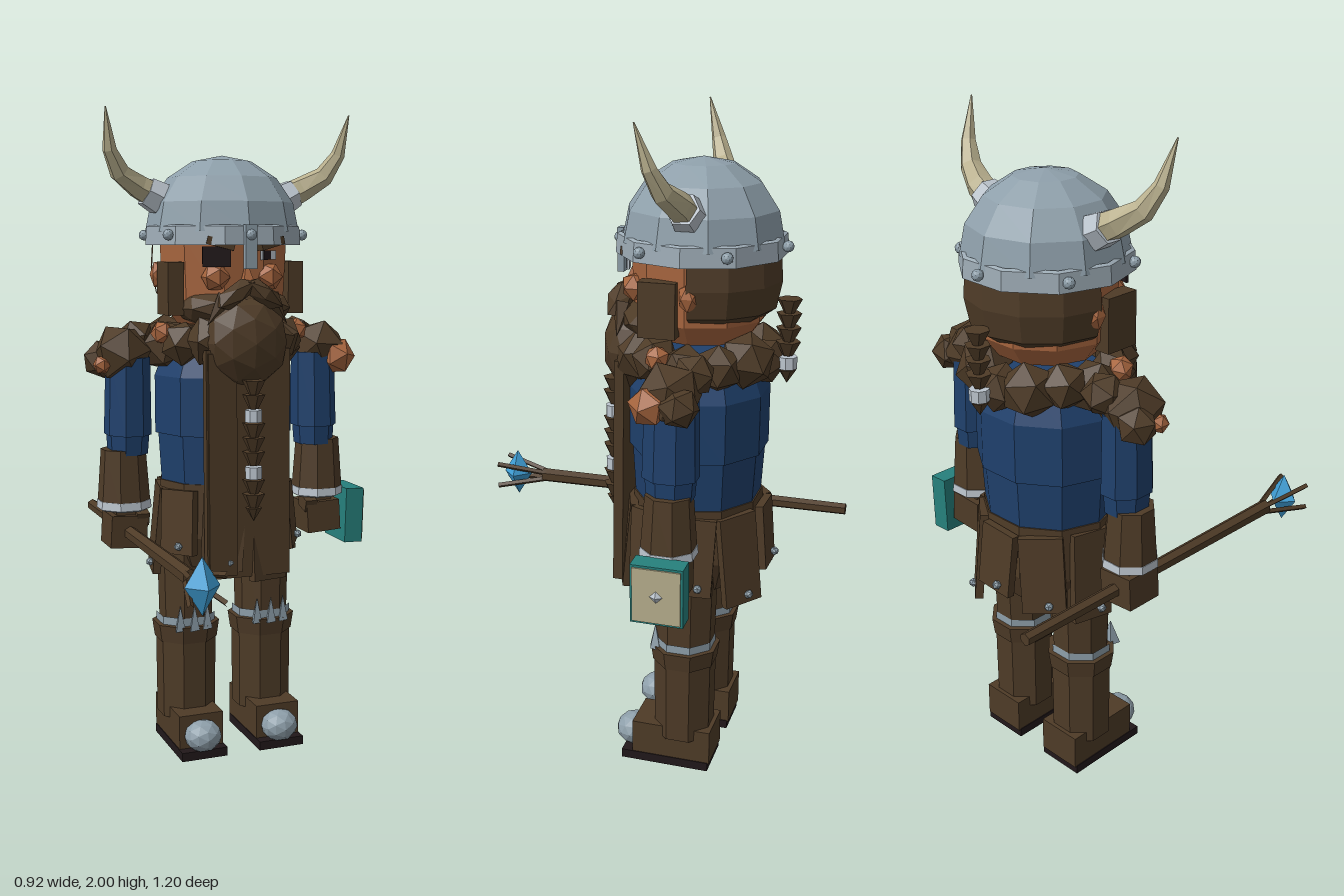
import * as THREE from 'three';

const mat = (name, color, side = THREE.FrontSide) => {
  const m = new THREE.MeshStandardMaterial({ color, flatShading: true, side });
  m.name = name;
  return m;
};

export function createModel() {
  const M = {
    brown: mat('brown leather and hair', 0x4e3b27),
    skin: mat('skin', 0xa8663f),
    blue: mat('blue cloth', 0x1f406c),
    steel: mat('steel', 0x8e9faa),
    trim: mat('pale trim', 0xbcc5ce),
    bone: mat('bone', 0xb9b08e),
    teal: mat('teal cover', 0x26807c),
    crystal: mat('blue crystal', 0x3f9fd6),
    dark: mat('dark sole', 0x21181a),
  };
  const root = new THREE.Group();
  root.name = 'hornedWarrior';
  // The body stands off-centre because of the staff and book.
  const body = new THREE.Group();
  body.name = 'body';
  body.position.set(-0.025, 0, -0.19);
  root.add(body);

  const add = (parent, name, geo, m, p = [0, 0, 0], r = [0, 0, 0], s = [1, 1, 1]) => {
    const mesh = new THREE.Mesh(geo, m);
    mesh.name = name;
    mesh.position.set(...p);
    mesh.rotation.set(...r);
    mesh.scale.set(...s);
    parent.add(mesh);
    return mesh;
  };
  const box = (w, h, d) => new THREE.BoxGeometry(w, h, d);
  const lump = (r, detail = 0) => new THREE.IcosahedronGeometry(r, detail);
  // Faceted tube with flat sides facing the axes, from [radius, y] pairs
  const turned = (pts, n) => new THREE.LatheGeometry(pts.map(([r, y]) => new THREE.Vector2(r, y)), n)
    .rotateY(Math.PI / n);

  // Torso and hips
  add(body, 'torso', turned([[0, 0.86], [0.205, 0.86], [0.215, 1.02], [0.225, 1.02], [0.225, 1.2], [0.17, 1.33], [0, 1.33]], 10),
    M.blue, [0, 0, 0], [0, 0, 0], [1, 1, 0.93]);
  add(body, 'hips', turned([[0, 0.6], [0.17, 0.6], [0.215, 0.7], [0.21, 0.87], [0, 0.87]], 10), M.brown, [0, 0, 0], [0, 0, 0], [1, 1, 0.93]);
  for (let i = 0; i < 9; i++) {
    const pivot = new THREE.Group();
    pivot.name = 'skirtPanel';
    pivot.rotation.y = (i + 0.5) * Math.PI * 2 / 9;
    body.add(pivot);
    const h = [0.28, 0.2, 0.24][i % 3];
    add(pivot, 'panel', box(0.13, h, 0.025), M.brown, [0, 0.85 - h / 2, 0.212], [-0.09, 0, i % 2 ? 0.05 : -0.05]);
    add(pivot, 'panelStud', lump(0.014), M.steel, [0.02, 0.88 - h, 0.24]);
  }
  add(body, 'tabard', box(0.27, 0.7, 0.03), M.brown, [0, 0.94, 0.215], [-0.01, 0, 0]);
  add(body, 'tabardFold', box(0.09, 0.68, 0.012), M.brown, [-0.085, 0.94, 0.232], [-0.01, 0, 0]);

  // Fur collar and shoulder tufts
  for (let i = 0; i < 12; i++) {
    const a = i * Math.PI / 6;
    add(body, 'collarTuft', lump(0.072 + 0.012 * (i % 2)), M.brown,
      [Math.sin(a) * 0.185, 1.29 + 0.012 * (i % 3), Math.cos(a) * 0.185], [i, i * 2, i * 0.7]);
  }
  for (const s of [-1, 1]) {
    add(body, 'shoulderTuft', lump(0.1), M.brown, [s * 0.33, 1.27, 0], [0.5, s, 0.4], [0.92, 0.98, 0.95]);
    add(body, 'shoulderTuft', lump(0.065), M.brown, [s * 0.27, 1.31, -0.05], [1, s, 0.2]);
    add(body, 'shoulderTuft', lump(0.06), M.brown, [s * 0.385, 1.25, -0.04], [0.2, s, 0.9]);
    add(body, 'tanTuft', lump(0.038), M.skin, [s * 0.22, 1.335, 0.07], [0.3, s, 0.2]);
  }
  add(body, 'tanTuft', lump(0.062), M.skin, [0.375, 1.245, 0.045], [0.4, 0.3, 0.1]);
  add(body, 'tanTuft', lump(0.03), M.skin, [-0.4, 1.24, 0.03]);

  for (const s of [-1, 1]) {
    // Arms
    const arm = new THREE.Group();
    arm.name = s > 0 ? 'leftArm' : 'rightArm';
    arm.position.x = s * 0.33;
    body.add(arm);
    add(arm, 'sleeve', turned([[0, 0.96], [0.062, 0.96], [0.066, 1.02], [0.073, 1.02], [0.068, 1.26], [0, 1.26]], 8), M.blue,
      [0, 0, 0], [0, 0, s * 0.015], [1, 1, 1.15]);
    add(arm, 'forearm', turned([[0, 0.8], [0.083, 0.8], [0.07, 0.975], [0, 0.975]], 8), M.brown);
    add(arm, 'cuff', turned([[0, 0.785], [0.077, 0.785], [0.086, 0.79], [0.084, 0.815], [0, 0.815]], 8), M.trim);
    add(arm, 'fist', box(0.115, 0.1, 0.12), M.brown, [0, 0.72, 0], [0, 0, s * 0.06]);
    add(arm, 'wrist', box(0.07, 0.06, 0.08), M.brown, [0, 0.785, 0]);
    add(arm, 'thumb', box(0.04, 0.04, 0.06), M.brown, [-s * 0.045, 0.765, 0.03], [0.3, 0, 0]);

    // Legs and boots
    const leg = new THREE.Group();
    leg.name = s > 0 ? 'leftLeg' : 'rightLeg';
    leg.position.x = s * 0.13;
    body.add(leg);
    add(leg, 'thigh', turned([[0, 0.38], [0.083, 0.38], [0.09, 0.7], [0, 0.7]], 8), M.brown, [0, 0, 0], [0, 0, 0], [1, 1, 1.1]);
    add(leg, 'bootShaft', turned([[0, 0.1], [0.094, 0.1], [0.096, 0.36], [0, 0.36]], 8), M.brown);
    add(leg, 'bootCuff', turned([[0, 0.35], [0.1, 0.35], [0.108, 0.405], [0, 0.415]], 8), M.brown);
    for (const t of [-1, 0, 1]) {
      add(leg, 'kneeSpike', new THREE.ConeGeometry(0.03, 0.08, 4), M.steel,
        [t * 0.045, 0.435, 0.092 - Math.abs(t) * 0.008], [0, Math.PI / 4, 0], [1, 1, 0.6]);
    }
    add(leg, 'kneeBand', turned([[0.094, 0.405], [0.094, 0.432]], 8), M.steel);
    add(leg, 'foot', box(0.145, 0.11, 0.25), M.brown, [0, 0.08, 0.025]);
    add(leg, 'sole', box(0.15, 0.028, 0.28), M.dark, [0, 0.014, 0.045]);
    add(leg, 'toeCap', lump(0.06, 1), M.steel, [0, 0.07, 0.165], [0, 0, 0], [1, 0.85, 0.95]);
  }

  // Head and face
  add(body, 'head', turned([[0, 1.34], [0.15, 1.36], [0.195, 1.42], [0.205, 1.62], [0, 1.64]], 10), M.skin);
  add(body, 'backHair', turned([[0.14, 1.4], [0.215, 1.45], [0.225, 1.52], [0.22, 1.62]], 10),
    M.brown, [0, 0, -0.012], [0, 0, 0]).geometry = new THREE.LatheGeometry(
    [[0, 1.385], [0.14, 1.4], [0.21, 1.45], [0.226, 1.53], [0.22, 1.62]].map(([r, y]) => new THREE.Vector2(r, y)),
    6, Math.PI / 2, Math.PI);
  body.getObjectByName('backHair').material = M.brown;
  add(body, 'nose', new THREE.ConeGeometry(0.032, 0.09, 4), M.skin, [0, 1.51, 0.215], [-0.15, Math.PI / 4, 0]);
  for (const s of [-1, 1]) {
    add(body, 'sideburn', box(0.05, 0.16, 0.11), M.brown, [s * 0.195, 1.47, 0.075]);
    add(body, 'ear', lump(0.045), M.skin, [s * 0.205, 1.51, -0.015], [0, 0, 0], [0.6, 1, 0.7]);
    add(body, 'cheek', lump(0.045), M.skin, [s * 0.085, 1.505, 0.175]);
    add(body, 'eyebrow', box(0.085, 0.024, 0.03), M.brown, [s * 0.08, 1.605, 0.205], [0, s * 0.25, s * 0.25]);
  }
  add(body, 'eyePatch', box(0.085, 0.06, 0.009), M.dark, [-0.09, 1.565, 0.198], [0, -0.25, 0]);
  add(body, 'eyeWhite', box(0.05, 0.028, 0.008), M.trim, [0.075, 1.57, 0.199], [0, 0.22, 0]);
  add(body, 'pupil', box(0.024, 0.028, 0.008), M.dark, [0.068, 1.57, 0.204], [0, 0.22, 0]);

  // Beard, moustache and braids
  add(body, 'beard', lump(0.14, 1), M.brown, [0, 1.31, 0.2], [0, 0, 0], [0.97, 1, 0.68]);
  add(body, 'jawBeard', lump(0.17, 1), M.brown, [0, 1.41, 0.1], [0, 0, 0], [1.1, 0.4, 0.8]);
  for (const s of [-1, 1]) {
    add(body, 'moustache', lump(0.06), M.brown, [s * 0.045, 1.455, 0.235], [0, 0, -s * 0.6], [1.3, 0.55, 0.7]);
    add(body, 'moustacheTip', new THREE.ConeGeometry(0.03, 0.1, 5), M.brown, [s * 0.1, 1.405, 0.22], [0, 0, Math.PI + s * 0.6]);
  }
  const braid = (name, n, top, step, z, r, ringAt) => {
    for (let i = 0; i < n; i++) {
      const ring = ringAt.includes(i);
      const geo = ring ? new THREE.CylinderGeometry(r * 0.85, r * 0.85, step * 0.85, 8)
        : new THREE.CylinderGeometry(r * 1.1, r * 0.45, step, 6);
      add(body, ring ? name + 'Ring' : name, geo, ring ? M.trim : M.brown, [0, top - i * step, z]);
    }
    add(body, name + 'End', new THREE.ConeGeometry(r * 0.8, step, 6), M.brown, [0, top - n * step, z], [Math.PI, 0, 0]);
  };
  braid('beardBraid', 9, 1.18, 0.043, 0.27, 0.032, [2, 6]);
  braid('hairBraid', 5, 1.46, 0.042, -0.26, 0.034, [4]);

  // Helmet
  add(body, 'helmetDome', new THREE.SphereGeometry(0.24, 10, 4, 0, Math.PI * 2, 0, Math.PI / 2).rotateY(Math.PI / 10),
    M.steel, [0, 1.64, 0], [0, 0, 0], [1, 0.97, 1]);
  const band = add(body, 'helmetBand', turned([[0.215, 1.6], [0.25, 1.6], [0.246, 1.655], [0.235, 1.66]], 10), M.steel);
  band.material = mat('helmet band steel', 0x9dabb5, THREE.DoubleSide);
  add(body, 'noseGuard', box(0.036, 0.13, 0.02), M.steel, [0, 1.595, 0.243]);
  for (let i = 0; i < 6; i++) {
    const a = i * Math.PI / 3;
    add(body, 'helmetRivet', lump(0.017, 1), M.steel, [Math.sin(a) * 0.25, 1.63, Math.cos(a) * 0.25]);
  }

  // Horns: hexagonal sections shrinking along a bent path
  const path = [[0.19, 1.735, -0.01], [0.27, 1.775, 0], [0.335, 1.815, 0.025], [0.372, 1.88, 0.05], [0.392, 2.0, 0.085]];
  const radii = [0.046, 0.04, 0.032, 0.022, 0.002];
  for (const s of [-1, 1]) {
    const pts = path.map(([x, y, z]) => new THREE.Vector3(s * x, y, z));
    const bend = pts.map((p, i) => new THREE.Vector3()
      .subVectors(pts[Math.min(i + 1, 4)], pts[Math.max(i - 1, 0)]).normalize());
    const pos = [], idx = [];
    pts.forEach((p, i) => {
      const q = new THREE.Quaternion().setFromUnitVectors(new THREE.Vector3(0, 1, 0), bend[i]);
      for (let k = 0; k < 6; k++) {
        const a = k * Math.PI / 3;
        const v = new THREE.Vector3(Math.sin(a), 0, Math.cos(a)).multiplyScalar(radii[i]).applyQuaternion(q).add(p);
        pos.push(v.x, v.y, v.z);
        const b = i * 6 + k, c = i * 6 + (k + 1) % 6;
        if (i < 4) idx.push(b, c, b + 6, c, c + 6, b + 6);
      }
    });
    const g = new THREE.BufferGeometry();
    g.setAttribute('position', new THREE.Float32BufferAttribute(pos, 3));
    g.setIndex(idx);
    g.computeVertexNormals();
    add(body, 'horn', g, M.bone);
    add(body, 'hornSocket', new THREE.CylinderGeometry(0.048, 0.055, 0.05, 6), M.trim, [s * 0.222, 1.75, -0.006], [0, 0, -s * 1.1]);
  }

  // Staff held level in the right hand
  const staff = new THREE.Group();
  staff.name = 'staff';
  staff.position.set(-0.352, 0.718, 0);
  root.add(staff);
  add(staff, 'shaft', new THREE.CylinderGeometry(0.024, 0.019, 1.05, 6), M.brown, [0, 0, -0.075], [Math.PI / 2, 0, 0]);
  for (let i = 0; i < 4; i++) {
    const a = Math.PI / 4 + i * Math.PI / 2;
    const prong = new THREE.TubeGeometry(new THREE.LineCurve3(
      new THREE.Vector3(Math.cos(a) * 0.012, Math.sin(a) * 0.012, 0.43),
      new THREE.Vector3(Math.cos(a) * 0.072, Math.sin(a) * 0.055, 0.6)), 1, 0.009, 4);
    add(staff, 'prong', prong, M.brown);
  }
  add(staff, 'crystal', new THREE.OctahedronGeometry(0.05), M.crystal, [0, 0, 0.545], [0, 0, 0], [1, 1.6, 1]);

  // Book carried at the left hand
  const book = new THREE.Group();
  book.name = 'book';
  book.position.set(0.408, 0.718, -0.193);
  book.rotation.z = -0.03;
  root.add(book);
  add(book, 'cover', box(0.062, 0.18, 0.155), M.teal);
  add(book, 'coverPanel', box(0.006, 0.166, 0.142), M.bone, [0.033, 0, 0]);
  add(book, 'gem', new THREE.OctahedronGeometry(0.022), M.trim, [0.034, 0, 0], [0, 0, 0], [0.6, 1, 1]);
  return root;
}
